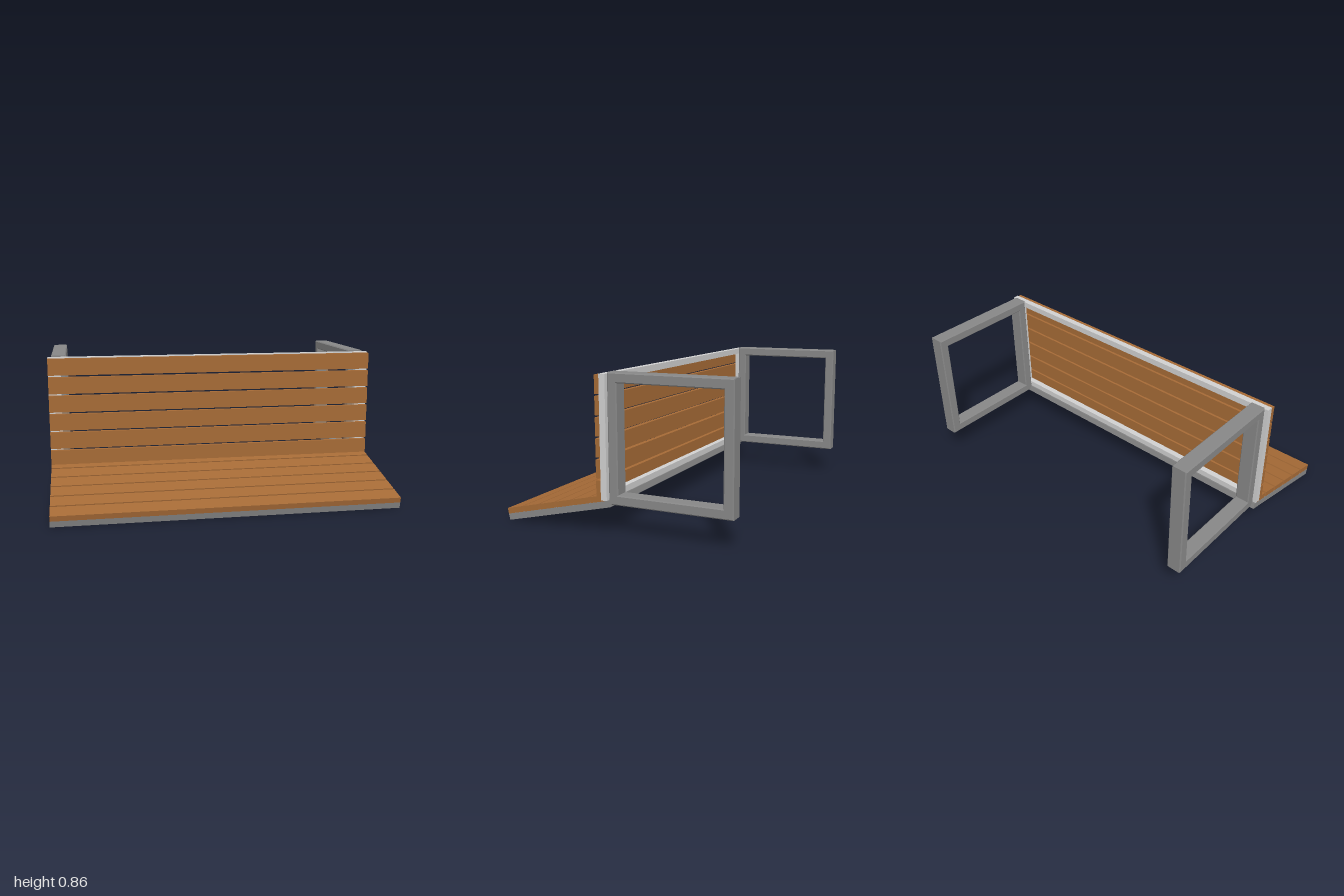
import * as THREE from 'three';

const wood = new THREE.MeshStandardMaterial({ color: 0xa56a36 });
wood.name = 'wood';
const steel = new THREE.MeshStandardMaterial({ color: 0x868686 });
steel.name = 'steel';
const paleSteel = new THREE.MeshStandardMaterial({ color: 0xcfcfcf });
paleSteel.name = 'pale steel';

const SLATS = 6, PITCH = 0.1115, SLAT = 0.1, LENGTH = SLATS * PITCH;

// Box given by its lowest corner in y and its range along z
function bar(parent, name, material, x, width, y, height, z0, z1) {
  const mesh = new THREE.Mesh(new THREE.BoxGeometry(width, height, z1 - z0), material);
  mesh.name = name;
  mesh.position.set(x, y + height / 2, (z0 + z1) / 2);
  parent.add(mesh);
}

// Rectangular frame lying along -z with slats on top
function slattedPanel(name, frameMat, { frameT, slatT, stile, rail, offset, slatWidth }) {
  const panel = new THREE.Group();
  panel.name = name;
  for (const side of [-1, 1]) {
    bar(panel, name + 'Stile', frameMat, side * (1 - stile / 2), stile, 0, frameT, -LENGTH, 0);
  }
  const inner = 2 - 2 * stile;
  bar(panel, name + 'Rail', frameMat, 0, inner, 0, frameT, -rail, 0);
  bar(panel, name + 'Rail', frameMat, 0, inner, 0, frameT, -LENGTH, -LENGTH + rail);
  for (let i = 0; i < SLATS; i++) {
    const start = -offset - i * PITCH;
    bar(panel, name + 'Slat', wood, 0, slatWidth, frameT, slatT, start - SLAT, start);
  }
  return panel;
}

// Square loop of tube with slightly chamfered edges
function supportLoop(x) {
  const z0 = -0.675, z1 = 0.028, y0 = 0.16, y1 = 0.86, t = 0.055, bevel = 0.006, width = 0.088;
  const rect = (path, d) => path
    .moveTo(-z1 + d, y0 + d).lineTo(-z0 - d, y0 + d)
    .lineTo(-z0 - d, y1 - d).lineTo(-z1 + d, y1 - d).closePath();
  const shape = new THREE.Shape();
  rect(shape, 0);
  const hole = new THREE.Path();
  rect(hole, t);
  shape.holes.push(hole);
  const geometry = new THREE.ExtrudeGeometry(shape, {
    depth: width - 2 * bevel, bevelEnabled: true, bevelThickness: bevel,
    bevelSize: bevel, bevelOffset: -bevel, bevelSegments: 1,
  });
  geometry.translate(0, 0, -(width - 2 * bevel) / 2);
  geometry.rotateY(Math.PI / 2);
  const mesh = new THREE.Mesh(geometry, steel);
  mesh.name = x > 0 ? 'leftSupportLoop' : 'rightSupportLoop';
  mesh.position.x = x;
  return mesh;
}

export function createModel() {
  const model = new THREE.Group();
  model.name = 'slattedBench';

  // Seat, rising toward the back
  const seat = slattedPanel('seat', steel, {
    frameT: 0.036, slatT: 0.032, stile: 0.09, rail: 0.085, offset: 0, slatWidth: 1.998,
  });
  seat.position.set(0, 0.001, 0.661);
  seat.rotation.x = 0.2286;
  model.add(seat);

  // Upright backrest
  const back = slattedPanel('backrest', paleSteel, {
    frameT: 0.036, slatT: 0.027, stile: 0.075, rail: 0.037, offset: 0.006, slatWidth: 2,
  });
  back.position.set(0, 0.184, 0.028);
  back.rotation.x = Math.PI / 2;
  model.add(back);

  // Square loops behind the backrest
  for (const side of [-1, 1]) model.add(supportLoop(side * 0.936));

  return model;
}
